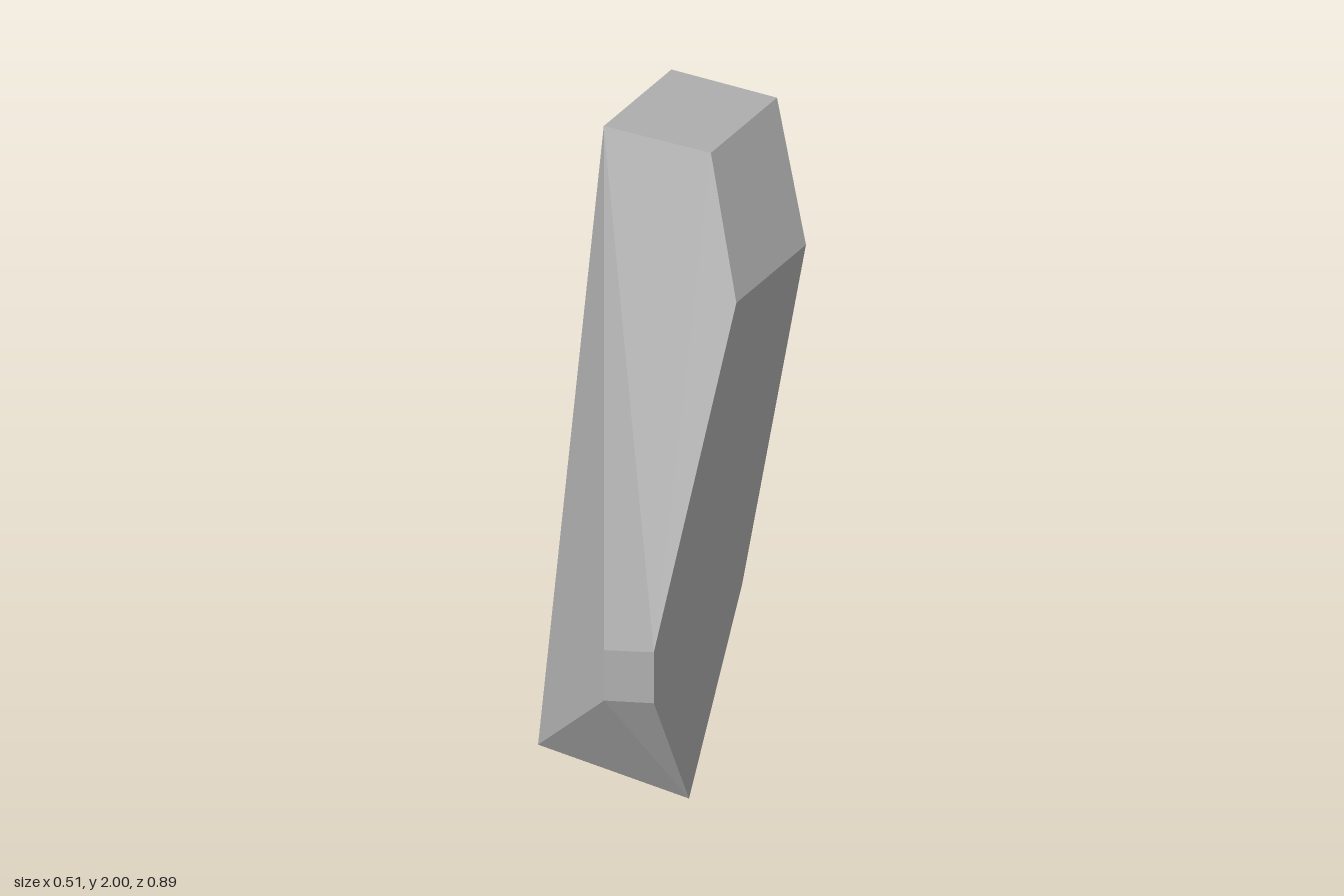
import * as THREE from 'three';

// Three upright slices of the shard: each has a fixed x and a list of [y, z] corners.
// Corners run from the top front, down the front, then up the back.
const slice = (x, pts) => pts.map(([y, z]) => new THREE.Vector3(x, y, z));

export function createModel() {
  const stone = new THREE.MeshStandardMaterial({ color: 0xb0b0b0 });
  stone.name = 'grey stone';

  const L = slice(-0.255, [[2, -0.045], [0.01, 0.295], [0.655, -0.003], [1.745, -0.345], [2, -0.395]]);
  const M = slice(0.08, [[2, -0.106], [0.56, 0.447], [0.382, 0.447], [0.04, 0.2], [0.68, -0.075], [1.74, -0.405], [2, -0.448]]);
  const R = slice(0.255, [[1.61, 0.02], [0.62, 0.447], [0.44, 0.447], [0, 0.265], [0.6, -0.01], [1.61, -0.34]]);

  const facets = [
    L, R, // flat sides
    [L[0], M[0], M[6], L[4]], // top
    [M[0], R[0], R[5], M[6]], // chamfer
    // front, fanned from the upper corner
    [L[0], L[1], M[2]], [L[0], M[2], M[1]], [L[0], M[1], R[1]],
    [L[0], R[1], M[0]], [M[0], R[1], R[0]],
    [M[1], M[2], R[2], R[1]], // short upright front facet
    [L[1], R[3], M[2]], [M[2], R[3], R[2]], // lower front
    [L[1], M[3], R[3]], // underside
    // back
    [L[1], L[2], M[4], M[3]], [L[2], L[3], M[5], M[4]], [L[3], L[4], M[6], M[5]],
    [M[3], M[4], R[4], R[3]], [M[4], M[5], R[5], R[4]], [M[5], M[6], R[5]],
  ];

  // Fan each facet into triangles, turned to face away from the shard's axis
  const positions = [];
  const normal = new THREE.Vector3(), edge = new THREE.Vector3(), out = new THREE.Vector3();
  const core = new THREE.Vector3(0, 1, 0.02);
  for (const f of facets) {
    for (let i = 1; i < f.length - 1; i++) {
      const [a, b, c] = [f[0], f[i], f[i + 1]];
      normal.subVectors(b, a).cross(edge.subVectors(c, a));
      const faces = normal.dot(out.subVectors(a, core)) > 0;
      for (const p of faces ? [a, b, c] : [a, c, b]) positions.push(p.x, p.y, p.z);
    }
  }
  const geometry = new THREE.BufferGeometry();
  geometry.setAttribute('position', new THREE.Float32BufferAttribute(positions, 3));
  geometry.computeVertexNormals(); // unshared corners keep the facets flat

  const shard = new THREE.Mesh(geometry, stone);
  shard.name = 'stoneShard';
  const group = new THREE.Group();
  group.name = 'facetedStone';
  group.add(shard);
  return group;
}
